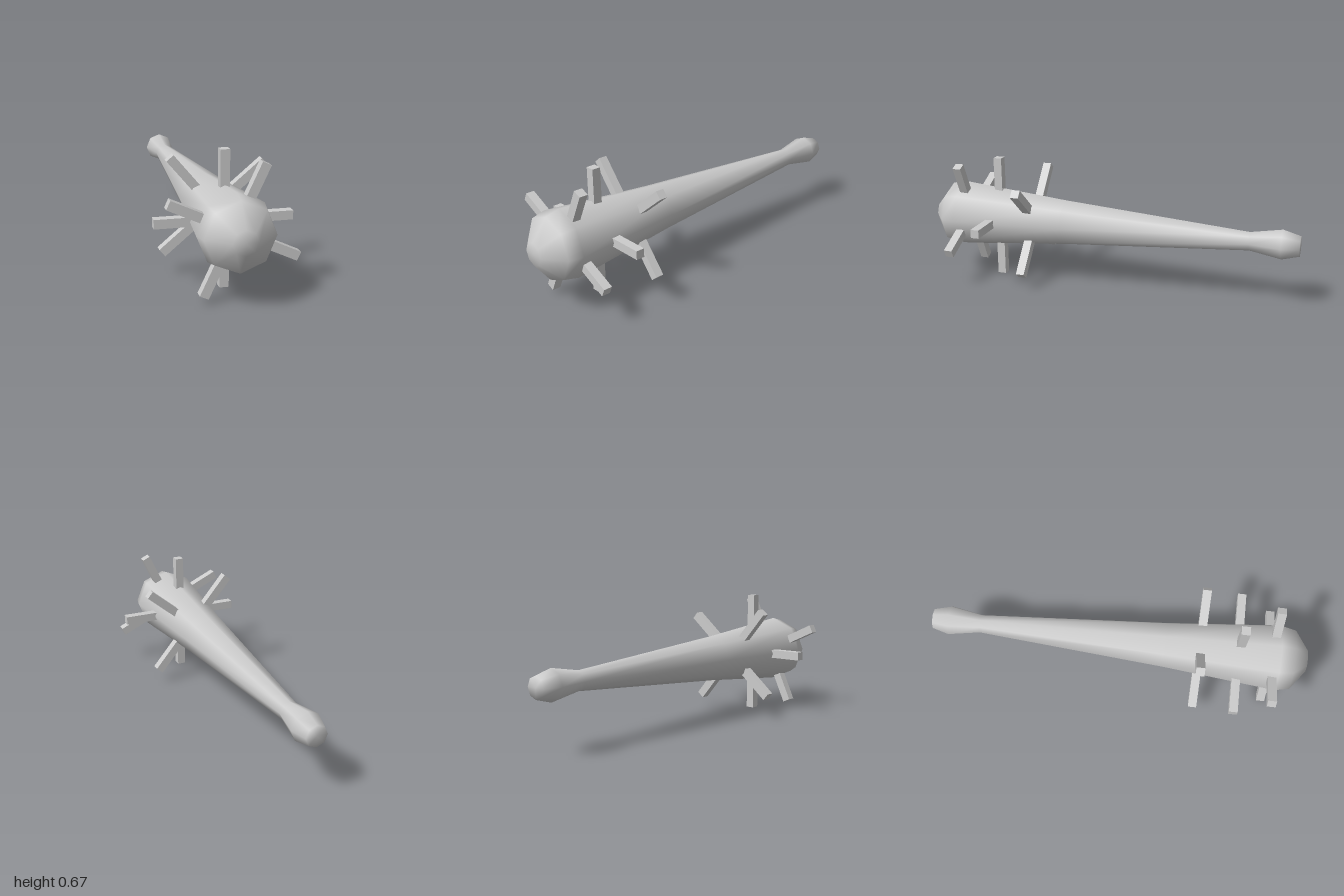
import * as THREE from 'three';

const AXIS_Y = 0.335;

export function createModel() {
  const group = new THREE.Group();
  const material = new THREE.MeshStandardMaterial({ color: 0xcccccc });

  // Eight-sided tapering club, from grip end to head: [radius, z]
  const profile = [
    [0, -1], [0.055, -1], [0.08, -0.91], [0.05, -0.745], [0.125, 0.25],
    [0.183, 0.845], [0.166, 0.92], [0.06, 1], [0, 1],
  ].map(([r, z]) => new THREE.Vector2(r, z));
  const clubGeometry = new THREE.LatheGeometry(profile, 8);
  clubGeometry.rotateX(Math.PI / 2);
  const club = new THREE.Mesh(clubGeometry, material);
  club.name = 'club';
  club.position.y = AXIS_Y;
  group.add(club);

  // Square pegs, rooted inside the head and pointing outwards
  const inner = 0.09, outer = 0.333, width = 0.045;
  const pegGeometry = new THREE.BoxGeometry(outer - inner, width, width);
  pegGeometry.translate((inner + outer) / 2, 0, 0);

  // Three rings of four pegs: [z, turn in degrees]
  const rings = [[0.435, 40], [0.637, 0], [0.814, 65]];
  rings.forEach(([z, turn], i) => {
    const ring = new THREE.Group();
    ring.name = `pegRing${i + 1}`;
    ring.position.set(0, AXIS_Y, z);
    for (let k = 0; k < 4; k++) {
      const peg = new THREE.Mesh(pegGeometry, material);
      peg.name = 'peg';
      peg.rotation.z = THREE.MathUtils.degToRad(turn + k * 90);
      ring.add(peg);
    }
    group.add(ring);
  });

  return group;
}
